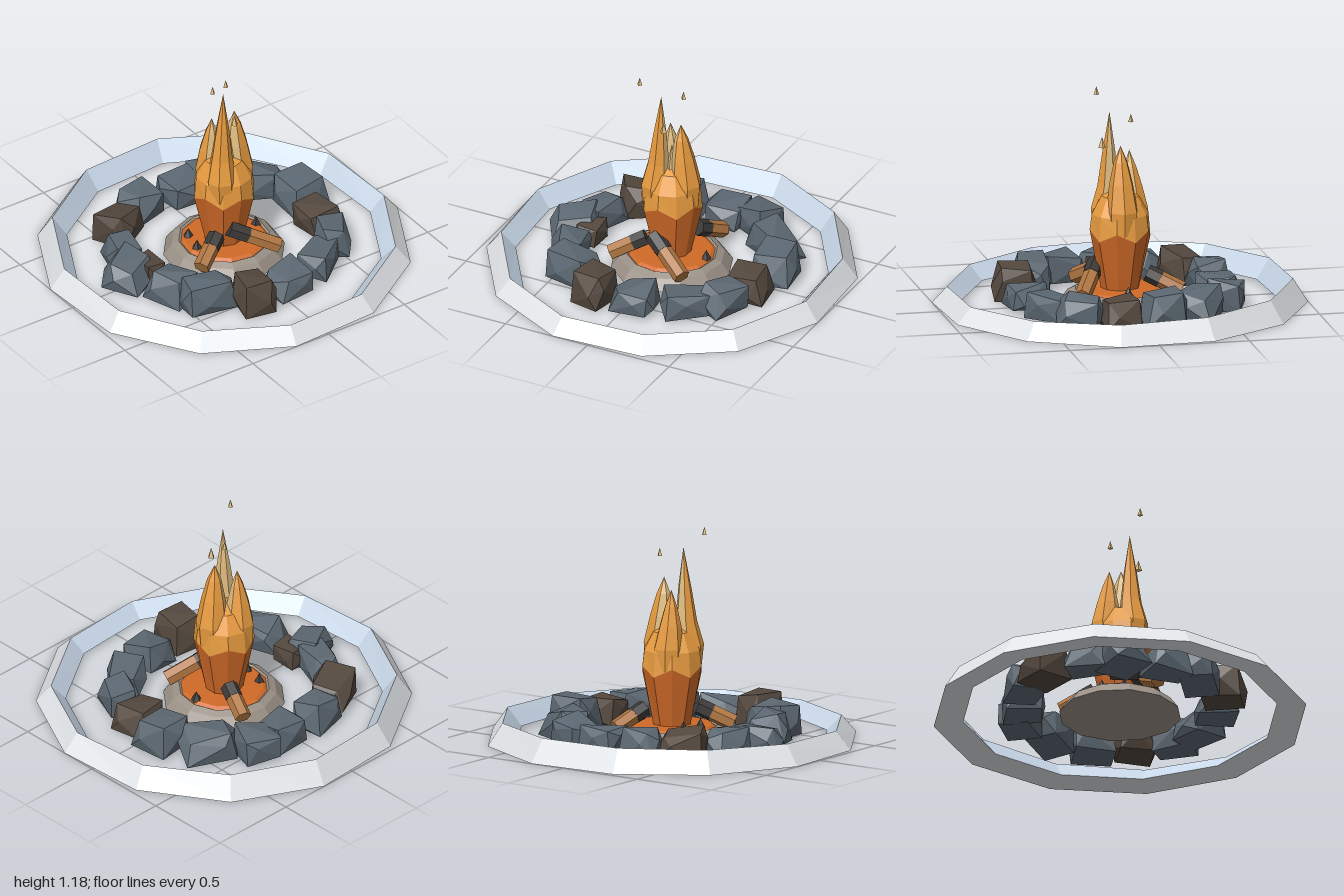
import * as THREE from 'three';
import { ConvexGeometry } from 'three/addons/geometries/ConvexGeometry.js';

const mat = (name, color) => {
  const m = new THREE.MeshStandardMaterial({ color });
  m.name = name;
  return m;
};

// Small seeded generator giving values in -1..1
function seeded(seed) {
  let s = seed * 7919 + 13;
  return () => {
    s = (s * 16807) % 2147483647;
    return (s / 2147483647) * 2 - 1;
  };
}

// Gives every facet its own flat normal
function facet(geo) {
  const g = geo.index ? geo.toNonIndexed() : geo;
  g.computeVertexNormals();
  return g;
}

// Faceted lathe; rule(v) may move each vertex
function turned(profile, sides, start, rule) {
  const pts = profile.map(([r, y]) => new THREE.Vector2(r, y));
  const geo = new THREE.LatheGeometry(pts, sides, start);
  const p = geo.attributes.position;
  const v = new THREE.Vector3();
  for (let i = 0; rule && i < p.count; i++) {
    v.fromBufferAttribute(p, i);
    rule(v);
    p.setXYZ(i, v.x, v.y, v.z);
  }
  return facet(geo);
}

// Flame tongue from round sections [x, y, z, r]; outward sides use material 0, inward sides 1
function tongueGeometry(sections, azimuth, sides = 7) {
  const pos = [];
  const geo = new THREE.BufferGeometry();
  const point = ([x, y, z, r], j) => {
    const a = azimuth + ((j % sides) / sides) * Math.PI * 2;
    return [x + r * Math.sin(a), y, z + r * Math.cos(a)];
  };
  for (let j = 0; j < sides; j++) {
    const first = pos.length / 3;
    for (let i = 0; i < sections.length - 1; i++) {
      const a = point(sections[i], j), b = point(sections[i], j + 1);
      const c = point(sections[i + 1], j + 1), d = point(sections[i + 1], j);
      pos.push(...a, ...b, ...d);
      if (sections[i + 1][3] > 0) pos.push(...b, ...c, ...d);
    }
    const outward = Math.cos(((j + 0.5) / sides) * Math.PI * 2) > 0;
    geo.addGroup(first, pos.length / 3 - first, outward ? 0 : 1);
  }
  geo.setAttribute('position', new THREE.Float32BufferAttribute(pos, 3));
  geo.computeVertexNormals();
  return geo;
}

// Chunky stone: hull of jittered bottom and top corners and a wider belt between them
function rockGeometry(w, h, d, seed) {
  const rnd = seeded(seed);
  for (let i = 0; i < 5; i++) rnd();
  const pts = [];
  const put = (x, y, z) => pts.push(new THREE.Vector3(x * w, y * h, z * d));
  for (const s of [-1, 1]) {
    for (const t of [-1, 1]) {
      put(s * (0.41 + 0.06 * rnd()), 0.06 + 0.06 * rnd(), t * (0.41 + 0.06 * rnd()));
      put(s * (0.34 + 0.1 * rnd()), 0.84 + 0.16 * rnd(), t * (0.34 + 0.1 * rnd()));
    }
    put(s * 0.5, 0.45 + 0.2 * rnd(), 0.25 * rnd());
    put(0.25 * rnd(), 0.45 + 0.2 * rnd(), s * 0.5);
  }
  return facet(new ConvexGeometry(pts));
}

export function createModel() {
  const snow = mat('snow', 0xe5e8eb);
  const ice = mat('ice', 0xcad9ea);
  const slate = mat('slate', 0x5c6872);
  const earth = mat('brown stone', 0x54483e);
  const ash = mat('ash', 0x9a9086);
  const ember = mat('ember orange', 0xd06a28);
  const flame = mat('flame orange', 0xe89c40);
  const pale = mat('pale flame', 0xe0bc80);
  const wood = mat('wood', 0xb07642);
  const char = mat('charcoal', 0x3c3a39);

  const group = new THREE.Group();
  const add = (name, geo, material) => {
    const mesh = new THREE.Mesh(geo, material);
    mesh.name = name;
    group.add(mesh);
    return mesh;
  };

  // Snow bank, slightly higher at the back
  const tilt = (v) => { v.y -= 0.2 * v.y * v.z; };
  add('snowBank', turned([[0.86, 0.015], [1.022, 0], [0.94, 0.11]], 12, Math.PI / 10, tilt), snow);
  add('snowBankInside', turned([[0.94, 0.11], [0.86, 0.015]], 12, Math.PI / 10, tilt), ice);

  // Ring of touching stones: x, z, width, depth, height, yaw, brown
  const stones = [
    [-0.39, -0.44, 0.28, 0.24, 0.19, 0.5, 1], [-0.18, -0.53, 0.27, 0.23, 0.19, 0.2, 0],
    [0.07, -0.52, 0.24, 0.24, 0.18, 0, 0], [0.26, -0.53, 0.25, 0.22, 0.19, -0.4, 0],
    [0.45, -0.35, 0.34, 0.22, 0.18, -0.5, 0], [0.58, -0.115, 0.27, 0.27, 0.21, 0.1, 0],
    [0.535, 0.115, 0.24, 0.24, 0.18, 0.1, 1], [0.48, 0.33, 0.2, 0.28, 0.19, -0.4, 0],
    [0.31, 0.44, 0.29, 0.22, 0.18, 0.6, 0], [0.05, 0.53, 0.26, 0.24, 0.18, 0.1, 0],
    [-0.19, 0.55, 0.23, 0.25, 0.2, -0.2, 1], [-0.39, 0.41, 0.32, 0.22, 0.2, -0.2, 0],
    [-0.5, 0.23, 0.22, 0.29, 0.2, 0.4, 0], [-0.6, -0.03, 0.29, 0.25, 0.18, 0.5, 0],
    [-0.49, -0.01, 0.14, 0.19, 0.14, 0, 1], [-0.53, -0.21, 0.2, 0.27, 0.2, -0.3, 0],
  ];
  stones.forEach(([x, z, w, d, h, yaw, brown], i) => {
    const rock = add('stone', rockGeometry(w, h, d, i + 3), brown ? earth : slate);
    rock.position.set(x, 0, z);
    rock.rotation.y = yaw;
  });

  // Stepped ash bed with glowing top
  add('ashBed', turned([[0, 0], [0.335, 0], [0.29, 0.06], [0.25, 0.08], [0.235, 0.07]], 12, 0.1), ash);
  add('emberBed', turned([[0.242, 0.07], [0.22, 0.085], [0, 0.09]], 12, 0.1), ember);

  // Loose coals
  for (const [x, z] of [[-0.16, -0.11], [-0.185, 0.01], [0.21, 0]]) {
    const coal = add('coal', facet(new THREE.ConeGeometry(0.03, 0.055, 5)), char);
    coal.position.set(x, 0.108, z);
    coal.rotation.y = x * 9;
  }

  // Logs leaning inward, charred at the inner end
  const logs = [
    [[0.155, 0.09, -0.31], [0.09, 0.18, -0.13]],
    [[-0.28, 0.09, 0.19], [-0.11, 0.18, 0.09]],
    [[0.19, 0.09, 0.25], [-0.05, 0.22, 0.12]],
  ];
  for (const [from, to] of logs) {
    const a = new THREE.Vector3(...from), b = new THREE.Vector3(...to);
    const dir = b.clone().sub(a).normalize();
    const length = a.distanceTo(b);
    const log = new THREE.Group();
    log.name = 'log';
    for (const [name, start, end, r, m] of [['logWood', 0, 0.62, 0.046, wood], ['logCharredEnd', 0.62, 1, 0.048, char]]) {
      const part = new THREE.Mesh(facet(new THREE.CylinderGeometry(r, r, length * (end - start), 6)), m);
      part.name = name;
      part.position.y = (length * (start + end)) / 2;
      log.add(part);
    }
    log.position.copy(a);
    log.quaternion.setFromUnitVectors(new THREE.Vector3(0, 1, 0), dir);
    group.add(log);
  }

  // Flame base and shoulder, meeting in a zigzag edge
  const zigzag = (v) => {
    if (Math.abs(v.y - 0.39) < 0.001) v.y += 0.025 * Math.cos(5 * Math.atan2(v.x, v.z));
  };
  add('flameBase', turned([[0.105, 0.08], [0.169, 0.39]], 10, 0, zigzag), ember);
  add('flameShoulder', turned([[0.169, 0.39], [0.158, 0.5], [0.105, 0.6], [0, 0.65]], 10, 0, zigzag), flame);

  // Flame tongues, pale on the inward sides
  const tongues = [
    [[-0.06, 0.4, 0.065, 0.075], [-0.065, 0.52, 0.069, 0.082], [-0.055, 0.65, 0.056, 0.06],
      [-0.047, 0.84, 0.053, 0.036], [-0.04, 1.06, 0.05, 0]],
    [[0.08, 0.4, 0.005, 0.085], [0.085, 0.53, 0.005, 0.09], [0.073, 0.68, 0.008, 0.066],
      [0.064, 0.8, 0.01, 0.038], [0.06, 0.89, 0.01, 0]],
    [[-0.035, 0.4, -0.08, 0.08], [-0.035, 0.52, -0.08, 0.085], [-0.04, 0.64, -0.072, 0.062],
      [-0.04, 0.75, -0.065, 0.034], [-0.04, 0.84, -0.06, 0]],
  ];
  for (const t of tongues) add('flameTongue', tongueGeometry(t, Math.atan2(t[1][0], t[1][2])), [flame, pale]);
  const core = add('flameCore', facet(new THREE.ConeGeometry(0.055, 0.25, 5)), pale);
  core.position.set(0.015, 0.64, 0.03);

  // Drifting sparks
  for (const [x, y, z, r] of [[-0.145, 1.155, 0.1, 0.015], [0.045, 1.04, -0.05, 0.015], [0, 0.9, 0.1, 0.02]]) {
    const spark = add('spark', facet(new THREE.ConeGeometry(r, r * 3, 4)), pale);
    spark.position.set(x, y, z);
  }
  return group;
}
